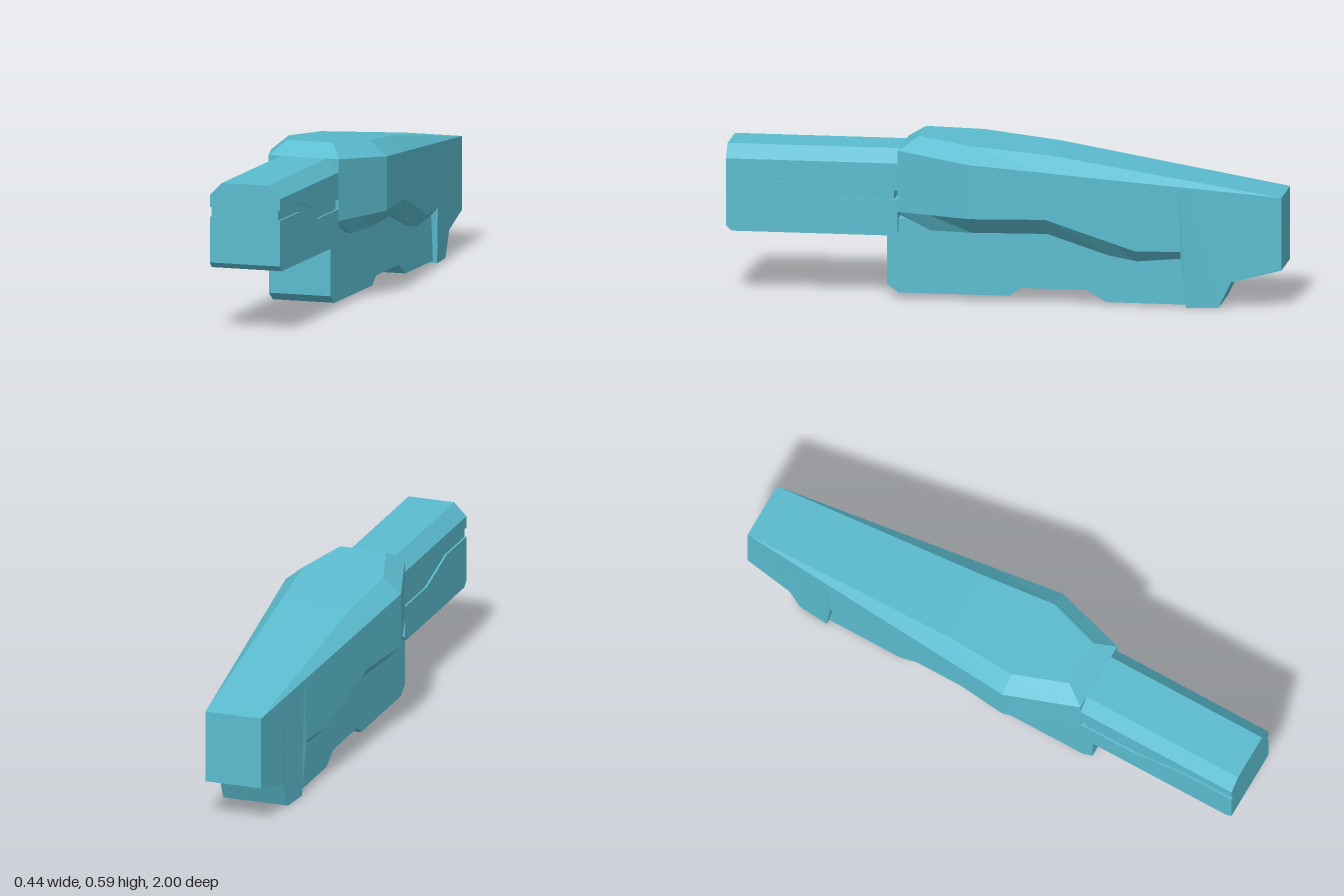
import * as THREE from 'three';

const material = new THREE.MeshStandardMaterial({ color: 0x5bbccf, flatShading: true });

// Piecewise linear value at z from [z, value] pairs listed front to back
function at(z, pts) {
  for (let i = 0; i < pts.length - 1; i++) {
    const [z0, a] = pts[i], [z1, b] = pts[i + 1];
    if (z >= z1) return a + (b - a) * (z0 - z) / (z0 - z1);
  }
  return pts[pts.length - 1][1];
}

// Skin mirrored sections, front to back; each lists its +x points bottom to top as [x, y, z]
function loft(name, halves) {
  const rings = halves.map(h => [...h, ...[...h].reverse().map(([x, y, z]) => [-x, y, z])]
    .map(p => new THREE.Vector3(...p)));
  const out = [];
  const tri = (a, b, c) => {
    const area = b.clone().sub(a).cross(c.clone().sub(a)).length();
    if (area > 1e-8) for (const p of [a, b, c]) out.push(p.x, p.y, p.z);
  };
  const n = rings[0].length;
  for (let s = 0; s < rings.length - 1; s++) {
    const a = rings[s], b = rings[s + 1];
    for (let i = 0; i < n; i++) {
      const j = (i + 1) % n;
      tri(a[i], b[i], a[j]);
      tri(a[j], b[i], b[j]);
    }
  }
  const first = rings[0], last = rings[rings.length - 1];
  for (let i = 1; i < n - 1; i++) {
    tri(first[0], first[i], first[i + 1]);
    tri(last[0], last[i + 1], last[i]);
  }
  const g = new THREE.BufferGeometry();
  g.setAttribute('position', new THREE.Float32BufferAttribute(out, 3));
  g.computeVertexNormals();
  const m = new THREE.Mesh(g, material);
  m.name = name;
  return m;
}

// Side outline in [z, y], extruded across x
function slab(name, outline, halfWidth) {
  const shape = new THREE.Shape(outline.map(p => new THREE.Vector2(...p)));
  const g = new THREE.ExtrudeGeometry(shape, { depth: halfWidth * 2, bevelEnabled: false });
  g.translate(0, 0, -halfWidth).rotateY(-Math.PI / 2);
  const m = new THREE.Mesh(g, material);
  m.name = name;
  return m;
}

export function createModel() {
  const group = new THREE.Group();

  // Edge lines of the faceted shell
  const outerX = [[0.38, 0.133], [0.11, 0.22], [-1, 0.106]];
  const shoulderY = [[0.38, 0.54], [-1, 0.405]];
  const crownX = [[0.38, 0.133], [0.31, 0.087], [0.11, 0.153], [-0.17, 0.132], [-1, 0.106]];
  const crownY = [[0.38, 0.54], [0.31, 0.587], [0.11, 0.568], [-0.17, 0.54], [-1, 0.405]];
  const skirtY = [[0.38, 0.317], [-0.16, 0.317], [-0.48, 0.205], [-0.64, 0.205]];
  const innerX = [[0.38, 0.125], [0.26, 0.14], [0.11, 0.16], [-0.16, 0.14], [-0.48, 0.117], [-0.64, 0.117]];
  const innerY = [[0.38, 0.31], [0.26, 0.255], [-0.16, 0.255], [-0.38, 0.18], [-0.48, 0.16], [-0.64, 0.175]];
  const upper = z => [
    [at(z, outerX), at(z, shoulderY), z],
    [at(z, crownX), at(z, crownY), z],
  ];
  const front = [0.38, 0.31, 0.26, 0.11, -0.16, -0.17, -0.38, -0.48, -0.64].map(z => [
    [at(z, innerX), at(z, innerY), z],
    [at(z, outerX), at(z, skirtY), z],
    ...upper(z),
  ]);
  // Rear foot: [z, underside height, inset of the lower edge]
  const rear = [[-0.66, 0, 0.008], [-0.775, 0, 0.006], [-0.82, 0.095, 0.003], [-1, 0.14, 0]].map(([z, y, inset]) => [
    [0.09, y, z],
    [at(z, outerX) - inset, y, z],
    ...upper(z),
  ]);
  group.add(loft('shell', [...front, ...rear]));

  // Lower body with stepped underside
  group.add(slab('lowerBody', [
    [0.42, 0.29], [0.42, 0.05], [0.38, 0.02], [-0.02, 0.02], [-0.06, 0.05], [-0.3, 0.05],
    [-0.37, 0.008], [-0.68, 0.008], [-0.68, 0.2], [-0.48, 0.2], [-0.16, 0.29],
  ], 0.117));

  // Front block, split by a stepped groove around a narrower core
  const grooveTop = [[1, 0.45], [0.8, 0.45], [0.6, 0.395], [0.38, 0.395]];
  const grooveBottom = grooveTop.map(([z, y]) => [z, y - 0.035]);
  group.add(loft('upperFrontBlock', grooveTop.map(([z, y]) => [
    [0.133, y, z], [0.133, 0.493, z], [0.087, 0.54, z],
  ])));
  group.add(slab('lowerFrontBlock', [
    ...grooveBottom, [0.38, 0.245], [0.395, 0.23], [0.98, 0.23], [1, 0.25],
  ], 0.133));
  group.add(slab('frontCore', [
    [1, 0.46], [0.8, 0.46], [0.6, 0.41], [0.395, 0.41],
    [0.395, 0.34], [0.6, 0.34], [0.8, 0.4], [1, 0.4],
  ], 0.126));

  return group;
}
